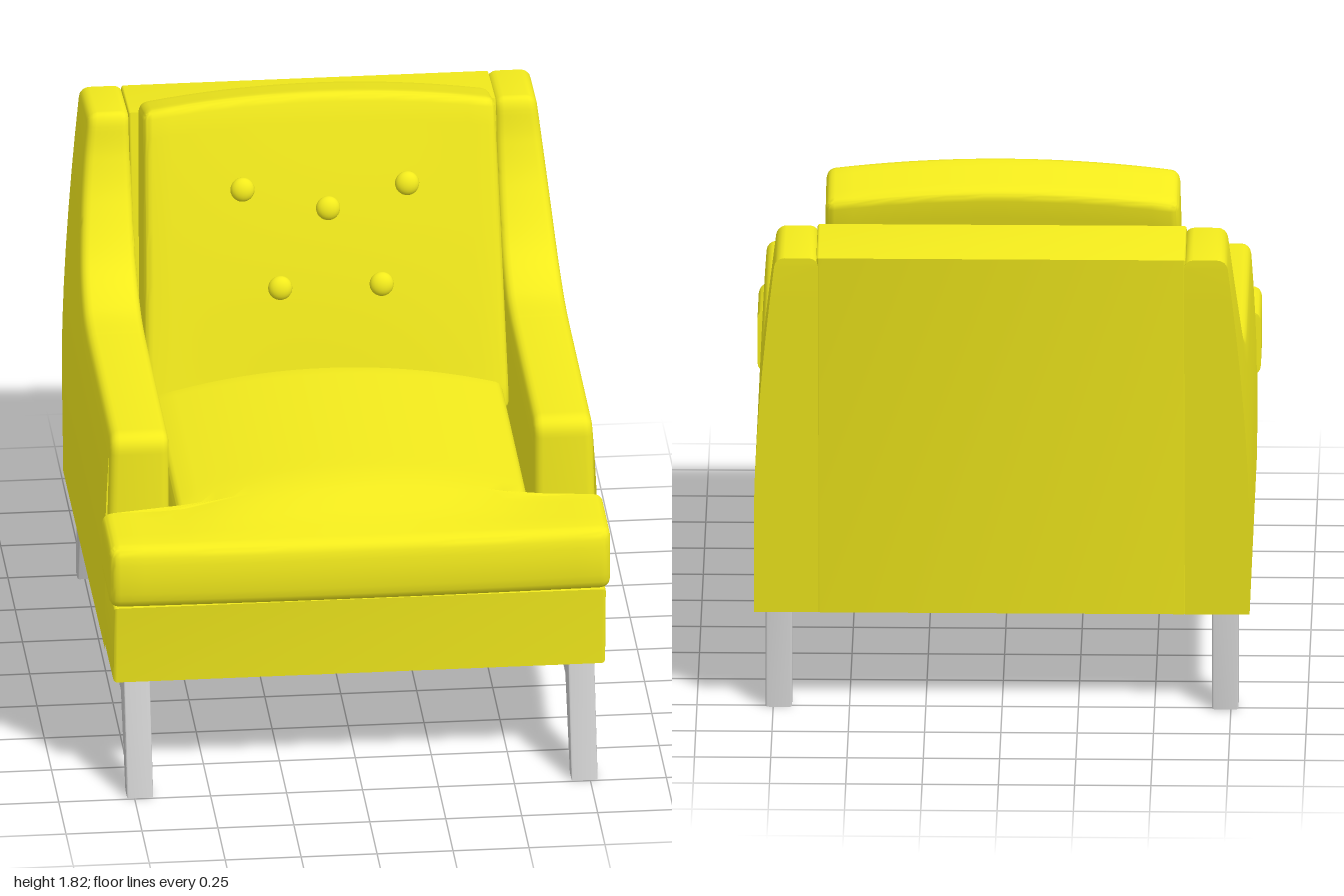
import * as THREE from 'three';
import { mergeVertices, toCreasedNormals } from 'three/addons/utils/BufferGeometryUtils.js';

const fabric = new THREE.MeshStandardMaterial({ color: 0xf2ea1c });
const metal = new THREE.MeshStandardMaterial({ color: 0xcccccc });

function addMesh(parent, name, geometry, material = fabric) {
  const mesh = new THREE.Mesh(geometry, material);
  mesh.name = name;
  parent.add(mesh);
  return mesh;
}

// Side profile given as [z, y] points, extruded across x from x0 to x1
function sideExtrude(points, x0, x1, bevel) {
  const shape = new THREE.Shape(points.map(([z, y]) => new THREE.Vector2(z, y)));
  const geo = new THREE.ExtrudeGeometry(shape, {
    depth: x1 - x0 - 2 * bevel, bevelSize: bevel, bevelThickness: bevel, bevelOffset: -bevel, bevelSegments: 3,
  });
  geo.rotateY(-Math.PI / 2);
  geo.translate(x1 - bevel, 0, 0);
  return toCreasedNormals(geo, 0.6);
}

// Grid coordinates from a to b, denser inside the rounded margin r
function levels(a, b, r, n) {
  const edge = [0, 0.25, 0.58].map((t) => t * r);
  const inner = Array.from({ length: n + 1 }, (_, i) => a + r + ((b - a - 2 * r) * i) / n);
  return [...edge.map((e) => a + e), ...inner, ...edge.reverse().map((e) => b - e)];
}

// Upholstered block: rounded box on the given grid, then shaped by a warp rule
function softBox(xs, ys, zs, r, warp) {
  const axes = [xs, ys, zs];
  let geo = new THREE.BoxGeometry(1, 1, 1, xs.length - 1, ys.length - 1, zs.length - 1);
  const pos = geo.attributes.position;
  const p = new THREE.Vector3();
  const core = new THREE.Vector3();
  for (let i = 0; i < pos.count; i++) {
    p.fromBufferAttribute(pos, i);
    axes.forEach((l, k) => {
      const v = l[Math.round((p.getComponent(k) + 0.5) * (l.length - 1))];
      p.setComponent(k, v);
      core.setComponent(k, THREE.MathUtils.clamp(v, l[0] + r, l[l.length - 1] - r));
    });
    p.sub(core).setLength(r).add(core);
    warp(p);
    pos.setXYZ(i, p.x, p.y, p.z);
  }
  geo.deleteAttribute('normal');
  geo.deleteAttribute('uv');
  geo = mergeVertices(geo, 1e-5);
  return toCreasedNormals(geo, 0.7);
}

// Arm and wing in one sweep: upright sections follow the top edge from front to back
function armGeometry() {
  const edge = new THREE.Path();
  edge.moveTo(0.63, 0.42);
  edge.lineTo(0.63, 1.07);
  edge.quadraticCurveTo(0.63, 1.134, 0.567, 1.134);
  edge.lineTo(-0.18, 1.13);
  edge.splineThru([[-0.34, 1.15], [-0.5, 1.235], [-0.626, 1.396], [-0.69, 1.53], [-0.715, 1.63]]
    .map(([z, y]) => new THREE.Vector2(z, y)));
  edge.quadraticCurveTo(-0.725, 1.672, -0.75, 1.672);
  edge.lineTo(-0.995, 1.648);
  const top = edge.getPoints(8);

  const inner = 0.6, r = 0.03, rows = 10, arc = 4;
  const outer = (y) => 0.812 - 0.075 * Math.pow(Math.max(0, (y - 0.7) / 0.97), 1.6);
  const verts = [], index = [];
  let count = 0;
  top.forEach((t, i) => {
    const a = top[Math.max(i - 1, 0)], b = top[Math.min(i + 1, top.length - 1)];
    const d = b.clone().sub(a).normalize();
    const n = new THREE.Vector2(d.y, -d.x);
    const f = (0.63 - t.x) / 1.625;
    const foot = new THREE.Vector2(0.63 - 1.443 * f, 0.37 - 0.022 * f);
    const shoulder = t.clone().addScaledVector(n, -r);
    const half = [];
    for (let k = 0; k <= rows; k++) half.push([foot.clone().lerp(shoulder, k / rows), 0]);
    for (let k = 1; k <= arc; k++) {
      const w = (k / arc) * Math.PI / 2;
      half.push([shoulder.clone().addScaledVector(n, r * Math.sin(w)), r * (1 - Math.cos(w))]);
    }
    half.forEach(([q, s]) => verts.push(outer(q.y) - s, q.y, q.x));
    [...half].reverse().forEach(([q, s]) => verts.push(inner + s, q.y, q.x));
    count = half.length * 2;
  });
  for (let i = 0; i < top.length - 1; i++) {
    for (let j = 0; j < count; j++) {
      const a = i * count + j, d = i * count + ((j + 1) % count);
      index.push(a, a + count, d + count, a, d + count, d);
    }
  }
  const last = (top.length - 1) * count;
  for (let j = 0; j < count / 2 - 1; j++) {
    const a = last + j, b = last + count - 1 - j;
    index.push(a, b, b - 1, a, b - 1, a + 1);
  }
  const geo = new THREE.BufferGeometry();
  geo.setAttribute('position', new THREE.Float32BufferAttribute(verts, 3));
  geo.setIndex(index);
  return toCreasedNormals(geo, 0.6);
}

export function createModel() {
  const chair = new THREE.Group();
  chair.name = 'armchair';

  // Body
  addMesh(chair, 'base', sideExtrude([[0.89, 0.372], [0.915, 0.65], [-0.78, 0.65], [-0.78, 0.352]], -0.81, 0.81, 0.012));
  addMesh(chair, 'backPanel', sideExtrude(
    [[-0.55, 0.35], [-0.55, 0.8], [-0.73, 1.672], [-0.995, 1.648], [-0.813, 0.348]], -0.605, 0.605, 0.008));

  // Arms and leg frames, mirrored
  const arm = armGeometry();
  const legs = sideExtrude([[0.88, 0.372], [0.995, 0], [0.935, 0], [0.78, 0.29],
    [-0.63, 0.29], [-0.716, 0], [-0.765, 0], [-0.743, 0.36]], 0.688, 0.775, 0.006);
  for (const [side, s] of [['left', 1], ['right', -1]]) {
    const half = new THREE.Group();
    half.name = side + 'Side';
    half.scale.x = s;
    addMesh(half, side + 'Arm', arm);
    addMesh(half, side + 'LegFrame', legs, metal);
    chair.add(half);
  }

  // T-shaped seat cushion with a domed top and bowed front
  const zs = [...levels(-0.3, 0.925, 0.035, 18).filter((z) => Math.abs(z - 0.64) > 0.03), 0.632, 0.65]
    .sort((a, b) => a - b);
  addMesh(chair, 'seatCushion', softBox(levels(-0.825, 0.825, 0.035, 20), levels(0.65, 0.872, 0.035, 6), zs, 0.035, (p) => {
    if (p.z < 0.64) p.x *= 0.58 / 0.825;
    const across = Math.max(0, 1 - (p.x / 0.58) ** 2);
    const along = THREE.MathUtils.smoothstep(0.93 - p.z, 0, 0.4);
    const height = (p.y - 0.65) / 0.222;
    p.y += 0.075 * across * along * height;
    if (p.z > 0.85) {
      const front = (p.z - 0.85) / 0.075;
      p.z += front * (0.015 * (1 - (p.x / 0.825) ** 2) + 0.015 * (1 - (2 * height - 1) ** 2));
    }
  }));

  // Leaning back cushion with a crowned top
  const back = new THREE.Group();
  back.name = 'backCushionGroup';
  back.position.set(0, 0.86, -0.23);
  back.rotation.x = -0.265;
  chair.add(back);
  addMesh(back, 'backCushion', softBox(levels(-0.6, 0.6, 0.03, 18), levels(-0.08, 0.96, 0.03, 16), levels(-0.22, 0, 0.03, 5), 0.03, (p) => {
    const h = THREE.MathUtils.clamp(p.y / 0.96, 0, 1);
    const across = 1 - (p.x / 0.6) ** 2;
    p.x *= 1 - 0.035 * h;
    p.y += 0.045 * across * h * h;
    p.z += 0.02 * across * Math.sin(Math.PI * h) * (p.z + 0.22) / 0.22;
  }));

  // Tufting buttons
  const button = new THREE.SphereGeometry(0.04, 20, 14);
  button.scale(1, 1, 0.7);
  for (const [x, y] of [[-0.262, 1.53], [0.28, 1.53], [0.018, 1.46], [-0.146, 1.21], [0.188, 1.21]]) {
    addMesh(back, 'button', button).position.set(x, (y - 0.86) / 0.965, 0.018);
  }
  return chair;
}
